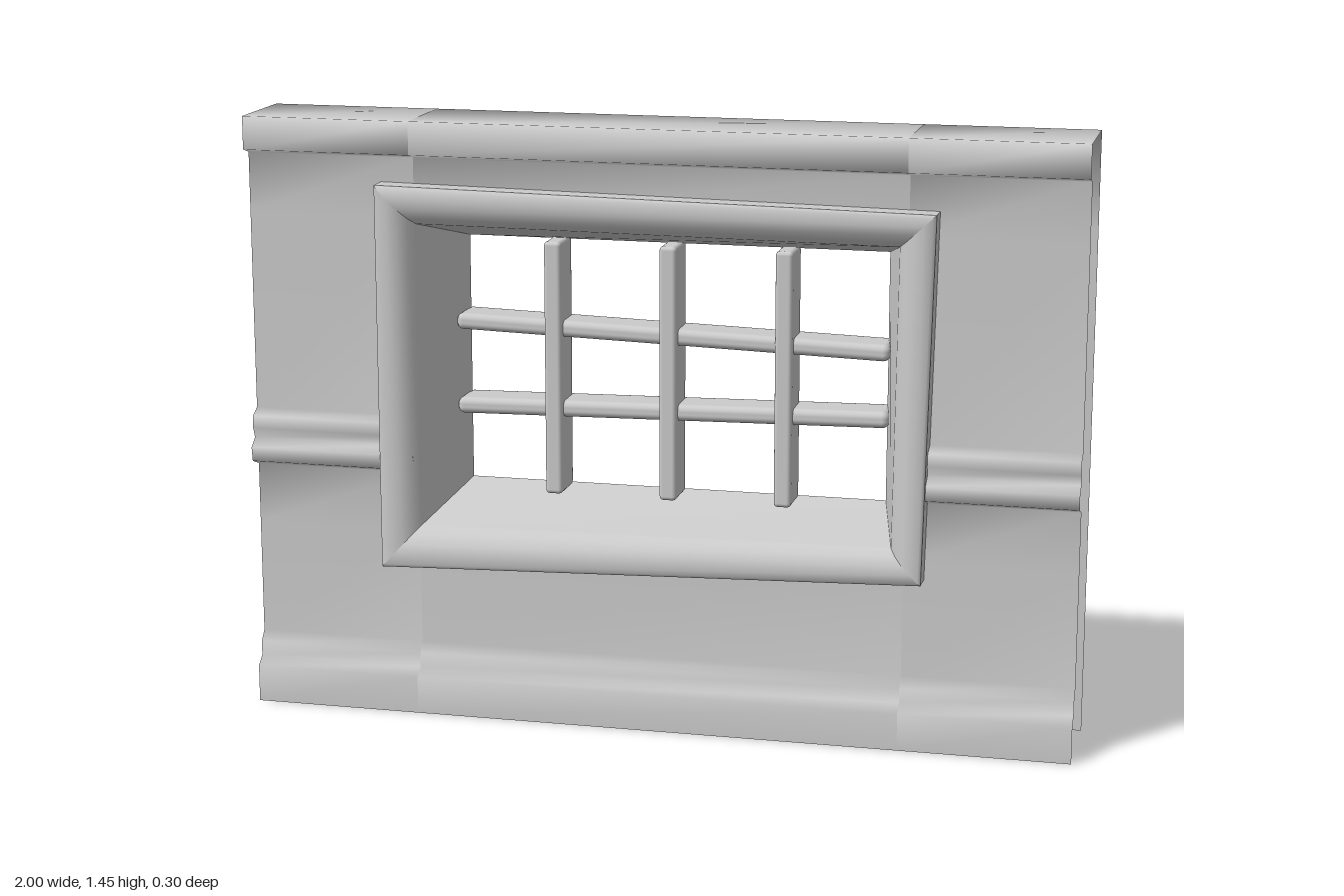
import * as THREE from 'three';
import { RoundedBoxGeometry } from 'three/addons/geometries/RoundedBoxGeometry.js';

const material = new THREE.MeshStandardMaterial({ color: 0xcccccc, side: THREE.DoubleSide });

function addMesh(parent, name, geometry) {
  const mesh = new THREE.Mesh(geometry, material);
  mesh.name = name;
  parent.add(mesh);
  return mesh;
}

// Smooth sheet through rows of point pairs [left, right]
function strip(rows) {
  const index = [];
  for (let i = 0; i < rows.length - 1; i++) {
    const a = i * 2;
    index.push(a, a + 1, a + 3, a, a + 3, a + 2);
  }
  const geometry = new THREE.BufferGeometry();
  geometry.setAttribute('position', new THREE.Float32BufferAttribute(rows.flat(2), 3));
  geometry.setIndex(index);
  geometry.computeVertexNormals();
  return geometry;
}

// Wall section as [y, z]: up the moulded front, over the top, down the plain back
const lowerFront = [[0, 0.13], [0.09, 0.13], [0.11, 0.105], [0.145, 0.105], [0.17, 0.085], [0.45, 0.085]];
const beltMoulding = [[0.595, 0.085], [0.61, 0.125], [0.645, 0.13], [0.665, 0.105],
  [0.69, 0.115], [0.72, 0.115], [0.735, 0.085]];
const upperWall = [[1.22, 0.085], [1.36, 0.085], [1.37, 0.12], [1.45, 0.12], [1.45, -0.11], [1.22, -0.11]];
const lowerBack = [[0.45, -0.11], [0, -0.11]];

function wallPiece(parent, name, profile, x0, x1) {
  addMesh(parent, name, strip(profile.map(([y, z]) => [[x0, y, z], [x1, y, z]])));
}

// Window frame corners, anticlockwise from the front
const outer = [[0.66, 1.28], [-0.67, 1.3], [-0.67, 0.37], [0.64, 0.41]];
const opening = [[0.515, 1.145], [-0.515, 1.145], [-0.515, 0.54], [0.515, 0.54]];

// Frame section as [t, z], t running from the outer edge to the opening
const frameParts = {
  frameOuterSide: [[0, -0.143], [0, 0.14]],
  frameFront: [[0, 0.14], [0.05, 0.148], [0.2, 0.15], [0.35, 0.147], [0.5, 0.132], [0.6, 0.11]],
  frameReveal: [[0.6, 0.11], [1, -0.12]],
  frameBack: [[1, -0.12], [0.85, -0.137], [0.6, -0.149], [0.2, -0.15], [0, -0.143]],
};

function framePoint(k, t, z) {
  return [
    THREE.MathUtils.lerp(outer[k][0], opening[k][0], t),
    THREE.MathUtils.lerp(outer[k][1], opening[k][1], t),
    z,
  ];
}

export function createModel() {
  const model = new THREE.Group();
  model.name = 'wallWithWindow';

  // Wall sheets around the window hole
  const wall = new THREE.Group();
  wall.name = 'wall';
  model.add(wall);
  const full = [...lowerFront, ...beltMoulding, ...upperWall, ...lowerBack];
  const hole = 0.59;
  wallPiece(wall, 'wallRight', full, -1, -hole);
  wallPiece(wall, 'wallLeft', full, hole, 1);
  wallPiece(wall, 'wallAboveWindow', upperWall, -hole, hole);
  wallPiece(wall, 'wallBelowWindowFront', lowerFront, -hole, hole);
  wallPiece(wall, 'wallBelowWindowBack', lowerBack, -hole, hole);

  // Mitred window frame
  const frame = new THREE.Group();
  frame.name = 'windowFrame';
  model.add(frame);
  for (const [name, profile] of Object.entries(frameParts)) {
    for (let k = 0; k < 4; k++) {
      const rows = profile.map(([t, z]) => [framePoint(k, t, z), framePoint((k + 1) % 4, t, z)]);
      addMesh(frame, name, strip(rows));
    }
  }

  // Window bars: three upright, two slightly crooked crossbars
  const bars = new THREE.Group();
  bars.name = 'windowBars';
  model.add(bars);
  for (const x of [-0.283, 0, 0.28]) {
    const bar = addMesh(bars, 'verticalBar', new RoundedBoxGeometry(0.042, 0.62, 0.11, 2, 0.01));
    bar.position.set(x, 0.8425, -0.075);
  }
  for (const [y, tilt] of [[0.93, -0.028], [0.745, 0.018]]) {
    const bar = addMesh(bars, 'crossbar', new RoundedBoxGeometry(1.06, 0.04, 0.105, 3, 0.016));
    bar.position.set(0, y, -0.092);
    bar.rotation.z = tilt;
  }
  return model;
}
